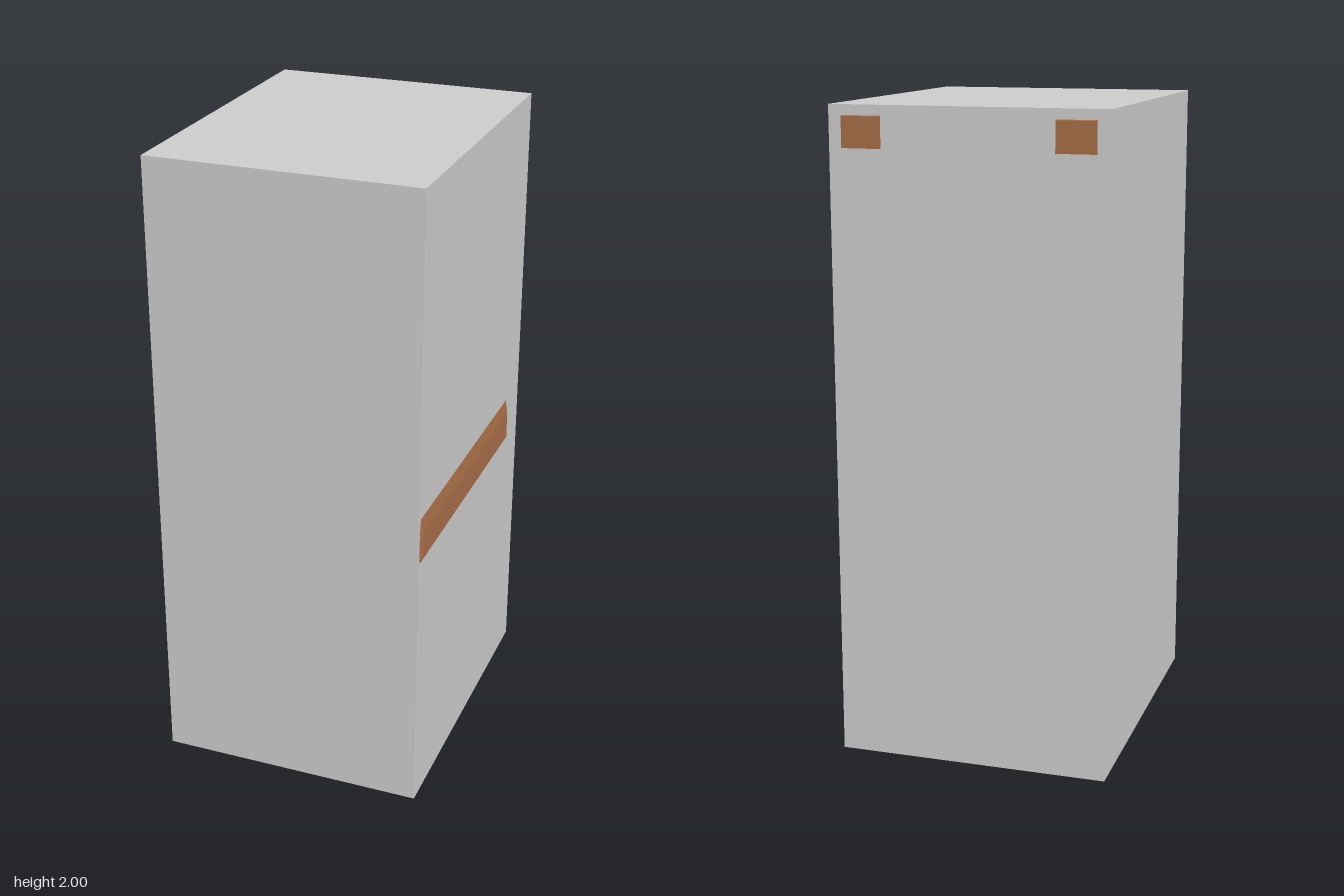
import * as THREE from 'three';

const grey = new THREE.MeshStandardMaterial({ color: 0xcccccc });
const brown = new THREE.MeshStandardMaterial({ color: 0xa66c46, flatShading: true });

function addBox(group, name, material, size, position) {
  const mesh = new THREE.Mesh(new THREE.BoxGeometry(...size), material);
  mesh.name = name;
  mesh.position.set(...position);
  group.add(mesh);
  return mesh;
}

// Long shallow bar with chamfered edges, shaped row by row from bottom to top
function handleGeometry() {
  const rows = [ // y, projection, half length
    [0.853, 0.001, 0.443],
    [0.866, 0.008, 0.449],
    [0.952, 0.008, 0.449],
    [0.998, 0.001, 0.437],
  ];
  const geometry = new THREE.BoxGeometry(1, 1, 1, 1, 3, 1);
  const p = geometry.attributes.position;
  for (let i = 0; i < p.count; i++) {
    const [y, out, half] = rows[Math.round((p.getY(i) + 0.5) * 3)];
    const outer = p.getX(i) > 0;
    const length = outer ? Math.min(half, 0.436) : half;
    p.setXYZ(i, outer ? 0.417 + out : 0.412, y, 0.068 + Math.sign(p.getZ(i)) * length);
  }
  const flat = geometry.toNonIndexed();
  flat.computeVertexNormals();
  return flat;
}

export function createModel() {
  const group = new THREE.Group();
  group.name = 'cabinet';

  // Plain cabinet body
  addBox(group, 'body', grey, [0.842, 1.997, 1.034], [-0.004, 1.0015, 0.001]);

  // Side handle
  const handle = new THREE.Mesh(handleGeometry(), brown);
  handle.name = 'handle';
  group.add(handle);

  for (const x of [-0.323, 0.318]) {
    // Thin feet, front and back
    for (const z of [-0.443, 0.388]) addBox(group, 'foot', brown, [0.064, 0.01, 0.062], [x, 0.005, z]);

    // Wall plate near the top of the back, its upper edge sloping in
    const plate = addBox(group, 'wallPlate', brown, [0.12, 0.1, 0.01], [x, 1.925, -0.514]);
    const p = plate.geometry.attributes.position;
    for (let i = 0; i < p.count; i++) {
      if (p.getY(i) > 0 && p.getZ(i) < 0) p.setY(i, 0.042);
    }
    plate.geometry.computeVertexNormals();
  }
  return group;
}
